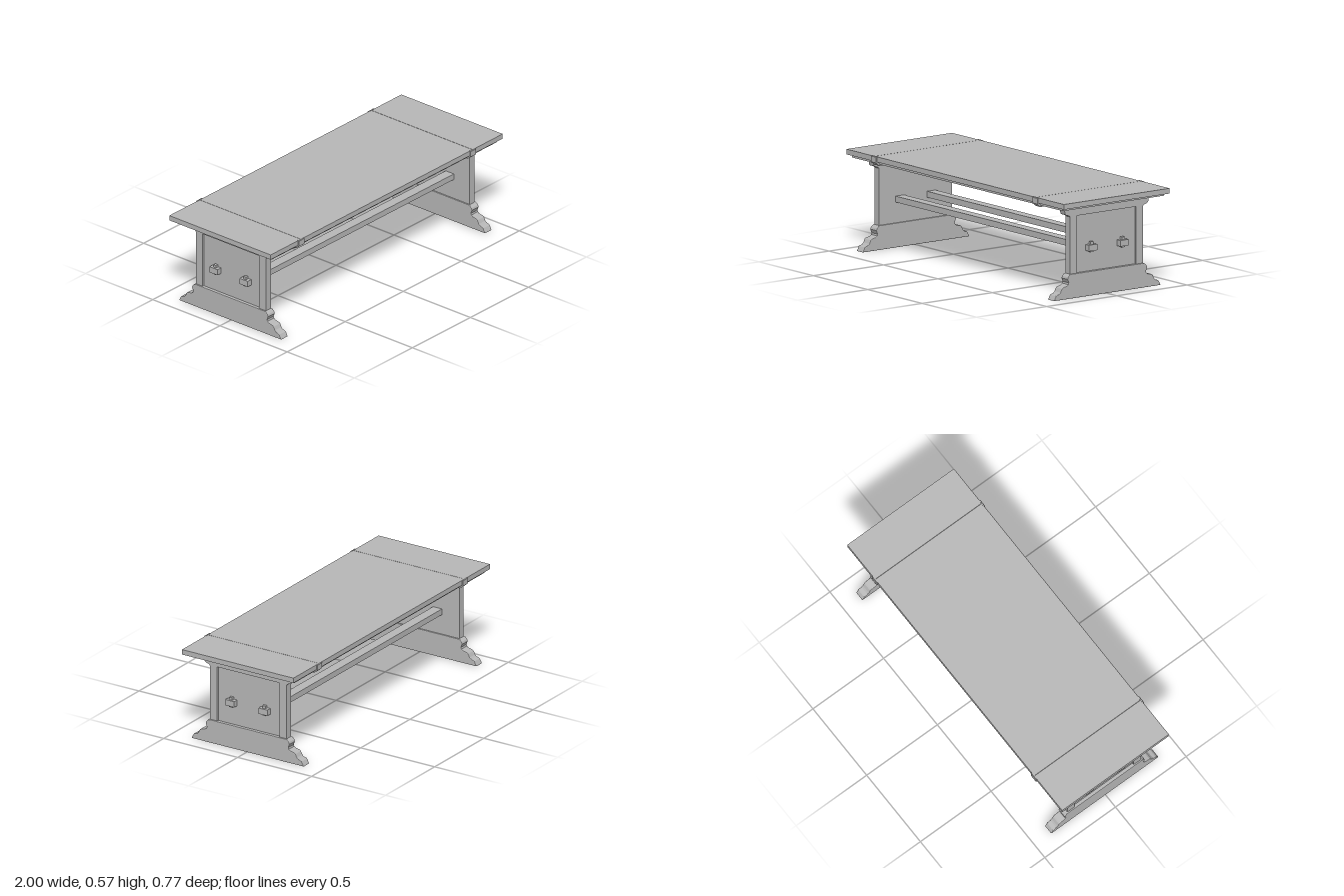
import * as THREE from 'three';

const wood = new THREE.MeshStandardMaterial({ color: 0xb8b8b8 });
wood.name = 'greyWood';

function add(parent, name, geometry) {
  const mesh = new THREE.Mesh(geometry, wood);
  mesh.name = name;
  parent.add(mesh);
  return mesh;
}

// Box given by its lower and upper limits
function box(parent, name, [x0, x1], [y0, y1], [z0, z1]) {
  const mesh = add(parent, name, new THREE.BoxGeometry(x1 - x0, y1 - y0, z1 - z0));
  mesh.position.set((x0 + x1) / 2, (y0 + y1) / 2, (z0 + z1) / 2);
  return mesh;
}

// Symmetric outline from one half, listed bottom to top as [z, y]
function mirrored(half) {
  const other = half.map(([z, y]) => [-z, y]).reverse();
  return new THREE.Shape([...half, ...other].map(([z, y]) => new THREE.Vector2(z, y)));
}

// Outline in the z-y plane, extruded from x0 to x1
function slab(parent, name, shape, x0, x1, bevel = 0) {
  const geometry = new THREE.ExtrudeGeometry(shape, {
    depth: x1 - x0 - 2 * bevel,
    bevelEnabled: bevel > 0, bevelSize: bevel, bevelThickness: bevel,
    bevelOffset: -bevel, bevelSegments: 2,
  });
  geometry.rotateY(Math.PI / 2);
  add(parent, name, geometry).position.x = x0 + bevel;
}

const footHalf = [
  [0.379, 0], [0.377, 0.006], [0.366, 0.027], [0.36, 0.031], [0.343, 0.035],
  [0.334, 0.044], [0.324, 0.064], [0.316, 0.07], [0.288, 0.076], [0.279, 0.083],
  [0.276, 0.093], [0.284, 0.114], [0.28, 0.125], [0.268, 0.137], [0.258, 0.14],
];
const legHalf = [
  [0.26, 0.13], [0.26, 0.468], [0.266, 0.474], [0.289, 0.482], [0.296, 0.489],
  [0.3, 0.508], [0.305, 0.53],
];

function createLeg() {
  const leg = new THREE.Group();
  slab(leg, 'foot', mirrored(footHalf), 0.849, 0.908, 0.004);
  slab(leg, 'legBoard', mirrored(legHalf), 0.857, 0.889);

  // Raised frame around the recessed outer panel
  const frame = mirrored(legHalf);
  frame.holes.push(new THREE.Path([
    [-0.21, 0.135], [-0.21, 0.47], [0.21, 0.47], [0.21, 0.135],
  ].map(([z, y]) => new THREE.Vector2(z, y))));
  slab(leg, 'panelFrame', frame, 0.889, 0.9);

  // Stretcher ends held by upright pegs
  for (const z of [-0.112, 0.112]) {
    box(leg, 'tenon', [0.885, 0.92], [0.259, 0.294], [z - 0.03, z + 0.03]);
    box(leg, 'peg', [0.893, 0.91], [0.25, 0.31], [z - 0.01, z + 0.01]);
  }
  return leg;
}

export function createModel() {
  const table = new THREE.Group();
  table.name = 'trestleTable';

  // Top: long centre board and two end boards
  const topY = [0.541, 0.571], topZ = [-0.377, 0.377];
  box(table, 'centreBoard', [-0.739, 0.739], topY, topZ);
  box(table, 'leftEndBoard', [0.741, 1], topY, topZ);
  box(table, 'rightEndBoard', [-1, -0.741], topY, topZ);
  box(table, 'underBoard', [-0.97, 0.97], [0.526, 0.541], [-0.361, 0.361]);

  // Straps under the joints, with clips gripping the edges
  const strap = new THREE.Shape([
    [-0.36, 0.517], [0.36, 0.517], [0.383, 0.536], [0.383, 0.569], [0.38, 0.573], [0.374, 0.573],
    [0.374, 0.541], [0.355, 0.526], [-0.355, 0.526], [-0.374, 0.541],
    [-0.374, 0.573], [-0.38, 0.573], [-0.383, 0.569], [-0.383, 0.536],
  ].map(([z, y]) => new THREE.Vector2(z, y)));
  for (const x of [-0.74, 0.74]) slab(table, 'jointStrap', strap, x - 0.023, x + 0.023);

  // Trestle ends and the two long stretchers
  const base = new THREE.Group();
  base.name = 'base';
  base.position.z = -0.005;
  table.add(base);
  const left = createLeg();
  left.name = 'leftTrestle';
  const right = createLeg();
  right.name = 'rightTrestle';
  right.rotation.y = Math.PI;
  base.add(left, right);
  for (const z of [-0.112, 0.112]) {
    box(base, 'stretcher', [-0.87, 0.87], [0.259, 0.294], [z - 0.03, z + 0.03]);
  }
  return table;
}
